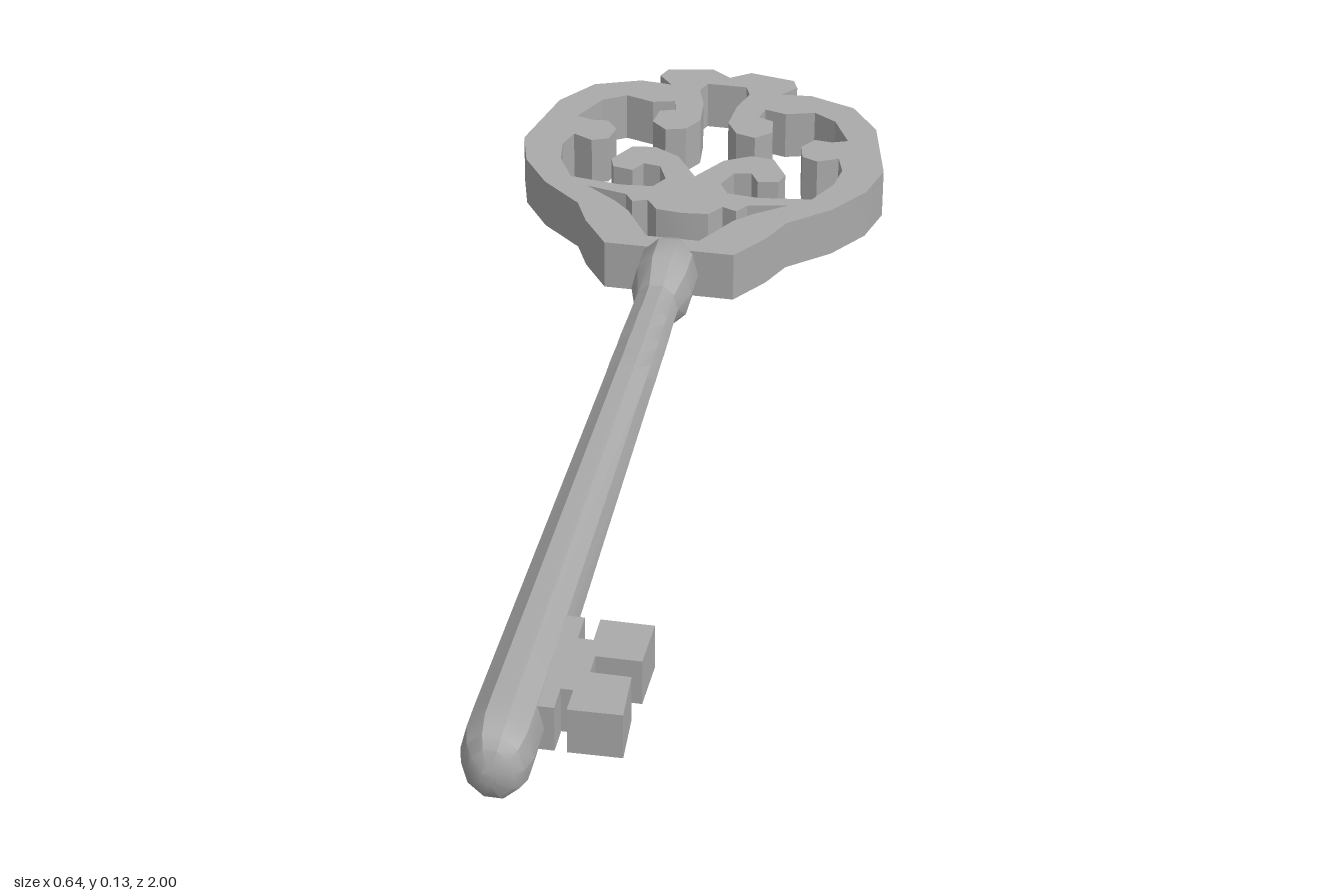
import * as THREE from 'three';
import { toCreasedNormals } from 'three/addons/utils/BufferGeometryUtils.js';

const metal = new THREE.MeshStandardMaterial({ color: 0xaaaaaa });
metal.name = 'grey metal';

const AXIS_Y = 0.068;
const SIDES = 10;

// Closed outline from its right half, listed from the far end to the near end
function mirrored(half) {
  const left = half.filter(([x]) => x > 0).reverse().map(([x, z]) => [-x, z]);
  return [...half, ...left].map(([x, z]) => new THREE.Vector2(x, z));
}

// Flat plate lying in the xz plane between two heights
function plate(name, shape, bottom, top) {
  const geo = new THREE.ExtrudeGeometry(shape, { depth: top - bottom, bevelEnabled: false });
  geo.rotateX(Math.PI / 2).translate(0, top, 0);
  const mesh = new THREE.Mesh(toCreasedNormals(geo, 0.35), metal);
  mesh.name = name;
  return mesh;
}

// Faceted rod along z from rings of [z, x radius, y radius, twist wobble]
function rod(name, rings) {
  const pos = [], index = [];
  rings.forEach(([z, rx, ry, dent = 0]) => {
    for (let i = 0; i < SIDES; i++) {
      const a = (i / SIDES) * Math.PI * 2;
      const k = 1 - (i % 2 ? dent : 0);
      pos.push(Math.cos(a) * rx * k, AXIS_Y + Math.sin(a) * ry * k, z);
    }
  });
  for (let r = 0; r < rings.length - 1; r++) {
    for (let i = 0; i < SIDES; i++) {
      const a = r * SIDES + i, b = r * SIDES + (i + 1) % SIDES;
      index.push(a, b, b + SIDES, a, b + SIDES, a + SIDES);
    }
  }
  // End caps
  const last = (rings.length - 1) * SIDES;
  for (let i = 1; i < SIDES - 1; i++) {
    index.push(0, i + 1, i, last, last + i, last + i + 1);
  }
  const geo = new THREE.BufferGeometry();
  geo.setAttribute('position', new THREE.Float32BufferAttribute(pos, 3));
  geo.setIndex(index);
  const mesh = new THREE.Mesh(toCreasedNormals(geo, 0.5), metal);
  mesh.name = name;
  return mesh;
}

export function createModel() {
  const key = new THREE.Group();
  key.name = 'key';

  // Ornate bow: outer silhouette with crown
  const bow = new THREE.Shape(mirrored([
    [0, -0.975], [0.035, -1], [0.115, -0.985], [0.125, -0.96], [0.1, -0.93],
    [0.155, -0.935], [0.235, -0.905], [0.285, -0.835], [0.318, -0.69], [0.298, -0.615],
    [0.25, -0.545], [0.18, -0.485], [0.155, -0.43], [0.11, -0.365], [0, -0.365],
  ]));

  // Main opening: top scrolls, side curls and the two leaves
  bow.holes.push(new THREE.Path(mirrored([
    [0, -0.945], [0.035, -0.945], [0.045, -0.92], [0.03, -0.87], [0.025, -0.81],
    [0.045, -0.775], [0.08, -0.765], [0.107, -0.79], [0.102, -0.83], [0.075, -0.84],
    [0.082, -0.87], [0.12, -0.86], [0.17, -0.875], [0.21, -0.85], [0.242, -0.785],
    [0.215, -0.775], [0.185, -0.778], [0.165, -0.75], [0.172, -0.715], [0.2, -0.703],
    [0.235, -0.72], [0.247, -0.68], [0.24, -0.63], [0.21, -0.572], [0.12, -0.56],
    [0.065, -0.565], [0.048, -0.595], [0.065, -0.635], [0.095, -0.64], [0.11, -0.613],
    [0.145, -0.62], [0.153, -0.645], [0.125, -0.695], [0.085, -0.7], [0.04, -0.675],
    [0, -0.612],
  ])));

  // Lower opening with a scalloped edge
  bow.holes.push(new THREE.Path(mirrored([
    [0, -0.485], [0.045, -0.49], [0.065, -0.518], [0.09, -0.508], [0.105, -0.53],
    [0.175, -0.545], [0.12, -0.505], [0.09, -0.475], [0.045, -0.4], [0, -0.4],
  ])));
  key.add(plate('bow', bow, 0.025, 0.112));

  // Collar between bow and shaft
  key.add(rod('collar', [
    [-0.43, 0.018, 0.022], [-0.41, 0.032, 0.042], [-0.36, 0.051, 0.069],
    [-0.3, 0.051, 0.069], [-0.25, 0.037, 0.043],
  ]));

  // Tapered shaft with a lightly notched neck and rounded tip
  key.add(rod('shaft', [
    [-0.27, 0.037, 0.043], [-0.19, 0.038, 0.046, 0.06], [-0.16, 0.039, 0.045],
    [-0.11, 0.04, 0.048, 0.06], [-0.08, 0.04, 0.047], [-0.03, 0.041, 0.05, 0.05],
    [0.01, 0.041, 0.049], [0.9, 0.053, 0.07], [0.945, 0.053, 0.07],
    [0.975, 0.045, 0.058], [0.99, 0.032, 0.042], [1, 0.012, 0.016],
  ]));

  // Toothed bit on the left side of the shaft
  const bit = new THREE.Shape([
    [0.02, 0.665], [0.067, 0.665], [0.067, 0.715], [0.09, 0.715], [0.09, 0.665],
    [0.17, 0.665], [0.168, 0.752], [0.1, 0.752], [0.1, 0.79], [0.16, 0.79],
    [0.165, 0.878], [0.085, 0.88], [0.085, 0.835], [0.067, 0.835], [0.067, 0.88],
    [0.02, 0.88],
  ].map(([x, z]) => new THREE.Vector2(x, z)));
  key.add(plate('bit', bit, 0.031, 0.107));

  return key;
}
